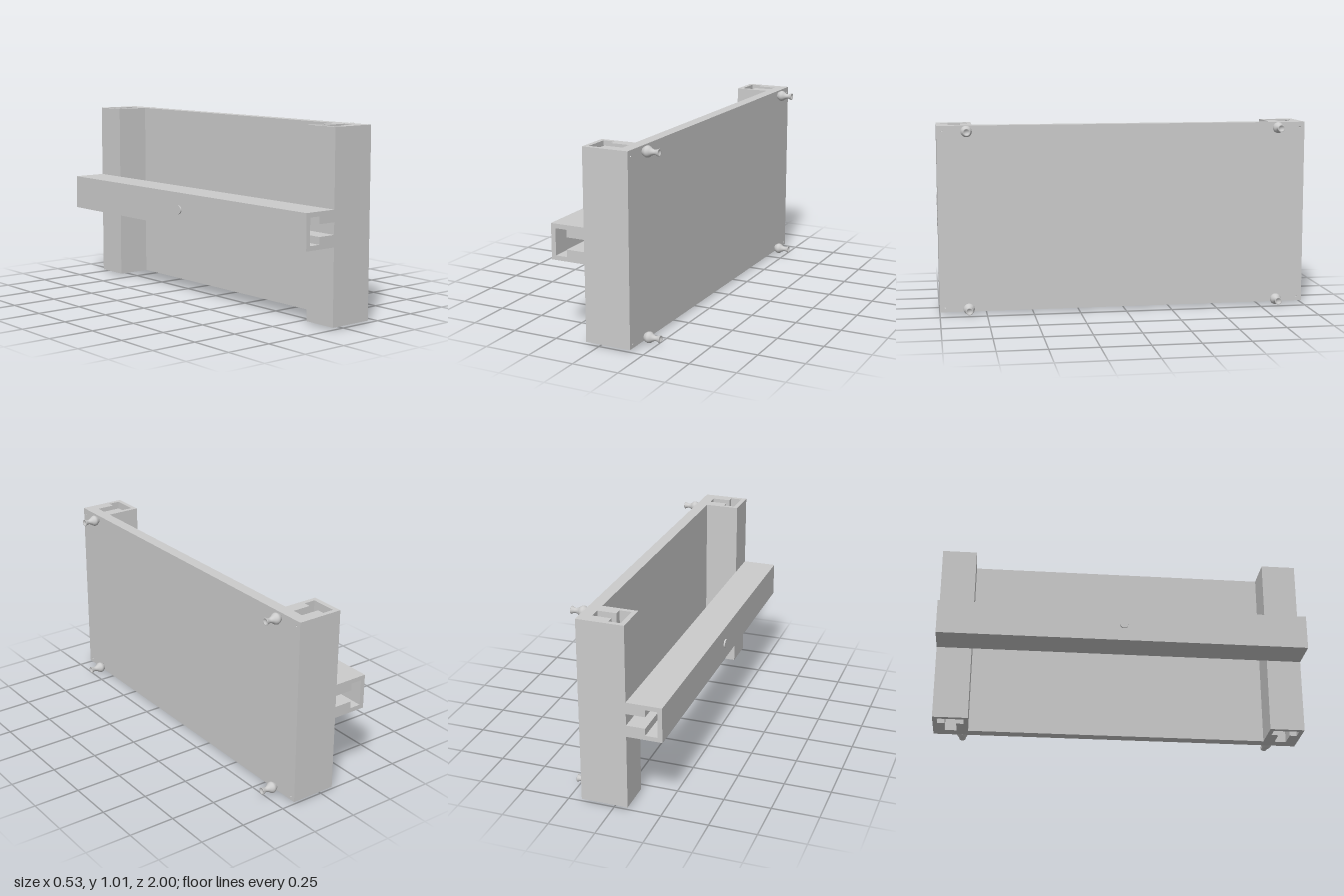
import * as THREE from 'three';

const grey = new THREE.MeshStandardMaterial({ color: 0xcccccc });
const Y0 = 0.015, Y1 = 1.013;      // panel bottom and top
const PANEL_BACK = 0.115, PANEL_FACE = 0.177;

// Slotted channel section: outer box from x = 0 to 0.188, T-slot open at x = 0.188
function channelShape() {
  const half = [[0, 0.094], [0.188, 0.094], [0.188, 0.0315], [0.088, 0.0315], [0.088, 0.07], [0.025, 0.07]];
  const mirrored = half.slice().reverse().map(([x, y]) => [x, -y]);
  return new THREE.Shape([...half, ...mirrored].map(([x, y]) => new THREE.Vector2(x, y)));
}

function channel(length) {
  return new THREE.ExtrudeGeometry(channelShape(), { depth: length, bevelEnabled: false });
}

export function createModel() {
  const group = new THREE.Group();
  const add = (name, geometry, x = 0, y = 0, z = 0) => {
    const mesh = new THREE.Mesh(geometry, grey);
    mesh.name = name;
    mesh.position.set(x, y, z);
    group.add(mesh);
    return mesh;
  };

  // Flat panel with a tiny pin hole near each corner
  const panel = new THREE.Shape([[-1, Y0], [1, Y0], [1, Y1], [-1, Y1]].map(([a, b]) => new THREE.Vector2(a, b)));
  for (const z of [-0.972, 0.972]) {
    for (const y of [0.037, 0.985]) {
      panel.holes.push(new THREE.Path().absarc(z, y, 0.005, 0, Math.PI * 2, true));
    }
  }
  const panelGeometry = new THREE.ExtrudeGeometry(panel, {
    depth: PANEL_FACE - PANEL_BACK, bevelEnabled: false, curveSegments: 8,
  }).rotateY(Math.PI / 2);
  add('panel', panelGeometry, PANEL_BACK);

  // Upright slotted posts at both ends of the panel
  const post = channel(Y1 - Y0).rotateX(-Math.PI / 2);
  for (const side of [-1, 1]) add('post', post, PANEL_BACK - 0.188, Y0, side * 0.906);

  // Horizontal slotted rail across the posts
  add('rail', channel(2), -0.261, 0.514, -1);

  // Button in the middle of the rail
  add('railButton', new THREE.CylinderGeometry(0.024, 0.024, 0.01, 32).rotateZ(Math.PI / 2), -0.264, 0.514, 0);

  // Turned knobs: round bulb, narrow neck, flared end with a shallow hollow
  const curve = new THREE.SplineCurve([
    [0.018, 0], [0.025, 0.01], [0.03, 0.022], [0.027, 0.034], [0.018, 0.047],
    [0.013, 0.06], [0.014, 0.071], [0.02, 0.086],
  ].map(([r, h]) => new THREE.Vector2(r, h)));
  const profile = [new THREE.Vector2(0, 0), ...curve.getPoints(32)];
  const bulb = new THREE.LatheGeometry(profile, 32).rotateZ(-Math.PI / 2);
  const end = new THREE.LatheGeometry(
    [[0.02, 0.086], [0.019, 0.088], [0.014, 0.088], [0.009, 0.081], [0, 0.081]].map(([r, h]) => new THREE.Vector2(r, h)),
    32,
  ).rotateZ(-Math.PI / 2);
  for (const z of [-0.845, 0.845]) {
    for (const y of [0.033, 0.984]) {
      add('knob', bulb, PANEL_FACE, y, z);
      add('knobEnd', end, PANEL_FACE, y, z);
    }
  }
  return group;
}
